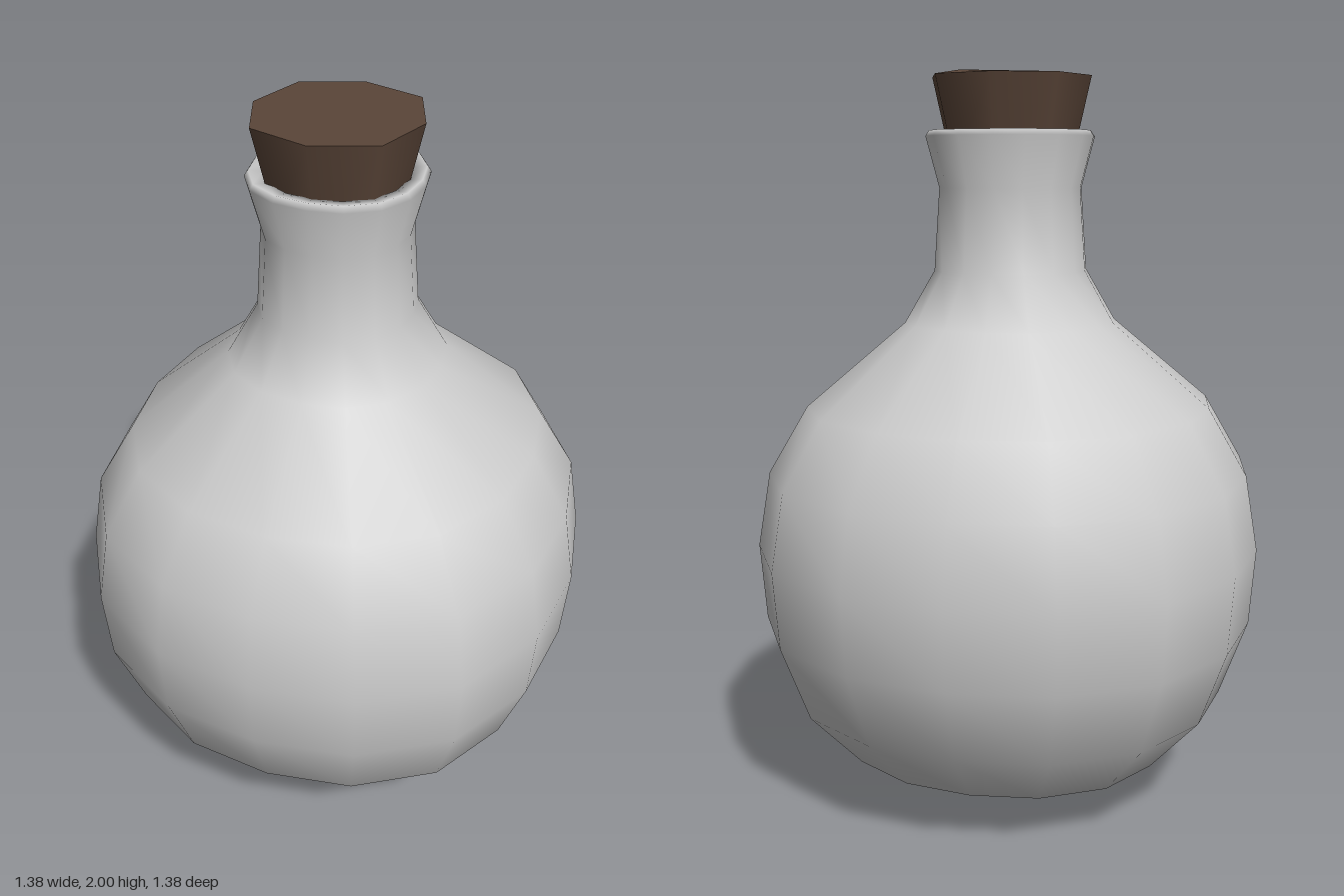
import * as THREE from 'three';
import { mergeVertices } from 'three/addons/utils/BufferGeometryUtils.js';

const glaze = new THREE.MeshStandardMaterial({ color: 0xcccccc, side: THREE.DoubleSide });
glaze.name = 'pale grey';
const corkBrown = new THREE.MeshStandardMaterial({ color: 0x5a4538 });
corkBrown.name = 'cork brown';

// Widen a round geometry towards its diagonals, so it is slightly squarish
function squareOff(geometry, amount) {
  const p = geometry.attributes.position;
  for (let i = 0; i < p.count; i++) {
    const x = p.getX(i), z = p.getZ(i);
    const k = 1 + amount * (1 - Math.cos(4 * Math.atan2(z, x))) / 2;
    p.setX(i, x * k);
    p.setZ(i, z * k);
  }
}

// Round flask with a flared neck and a rim that turns inwards
function makeBottle() {
  const profile = [
    [0, 0.005], [0.245, 0.04], [0.46, 0.14], [0.6, 0.3], [0.675, 0.51],
    [0.69, 0.72], [0.655, 0.925], [0.55, 1.105], [0.285, 1.33], [0.205, 1.47],
    [0.19, 1.69], [0.225, 1.825], [0.215, 1.84], [0.18, 1.835], [0.165, 1.74],
  ].map(([r, y]) => new THREE.Vector2(r, y));
  let geometry = new THREE.LatheGeometry(profile, 16);
  squareOff(geometry, 0.045);
  // Weld the seam for smooth shading all round
  geometry.deleteAttribute('uv');
  geometry.deleteAttribute('normal');
  geometry = mergeVertices(geometry, 1e-4);
  geometry.computeVertexNormals();
  const mesh = new THREE.Mesh(geometry, glaze);
  mesh.name = 'bottle';
  return mesh;
}

// Eight-sided tapered stopper with a slightly raised, off-centre top
function makeCork() {
  const bottom = 1.74, top = 1.98;
  const geometry = new THREE.CylinderGeometry(0.218, 0.163, top - bottom, 8);
  geometry.translate(0, (top + bottom) / 2, 0);
  squareOff(geometry, 0.05);
  const p = geometry.attributes.position;
  for (let i = 0; i < p.count; i++) {
    const atCentre = Math.hypot(p.getX(i), p.getZ(i)) < 0.001;
    if (atCentre && p.getY(i) > 1.9) p.setXYZ(i, 0.14, 2, 0);
  }
  const mesh = new THREE.Mesh(geometry, corkBrown);
  mesh.name = 'cork';
  return mesh;
}

export function createModel() {
  const group = new THREE.Group();
  group.name = 'corkedFlask';
  group.add(makeBottle(), makeCork());
  return group;
}
